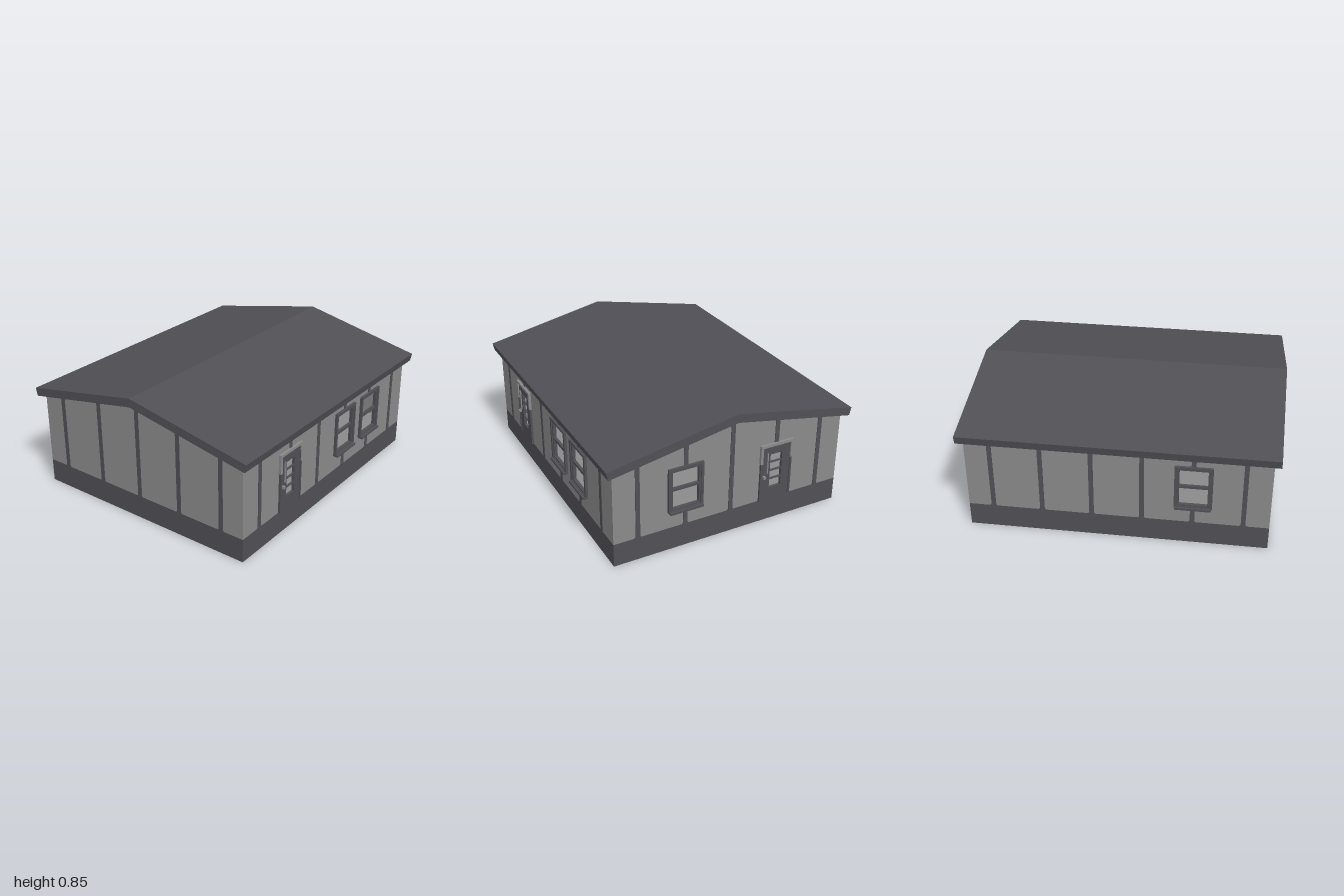
import * as THREE from 'three';

const HX = 0.945, HZ = 0.788;       // half width and half depth of the walls
const BASE = 0.155, EAVE = 0.634, PEAK = 0.79;
const OPEN_W = { w: 0.175, y0: 0.29, y1: 0.54 };   // window opening
const OPEN_D = { w: 0.084, y0: 0.238, y1: 0.477 }; // glazed part of a door

const trim = new THREE.MeshStandardMaterial({ color: 0x504f55, side: THREE.DoubleSide });
trim.name = 'dark trim';
const plaster = new THREE.MeshStandardMaterial({ color: 0x8a8a8a, side: THREE.DoubleSide });
plaster.name = 'grey panel';

function add(parent, name, geometry, material) {
  const mesh = new THREE.Mesh(geometry, material);
  mesh.name = name;
  parent.add(mesh);
  return mesh;
}

// Box given by its limits on each axis
function block(parent, name, material, x0, x1, y0, y1, z0, z1) {
  const mesh = add(parent, name, new THREE.BoxGeometry(x1 - x0, y1 - y0, z1 - z0), material);
  mesh.position.set((x0 + x1) / 2, (y0 + y1) / 2, (z0 + z1) / 2);
  return mesh;
}

function rectPath(x0, x1, y0, y1, Kind = THREE.Path) {
  const p = new Kind();
  p.moveTo(x0, y0).lineTo(x1, y0).lineTo(x1, y1).lineTo(x0, y1).closePath();
  return p;
}

// Rectangular plate with a rectangular hole, from z0 to z1
function ring(parent, name, material, outer, hole, z0, z1) {
  const shape = rectPath(...outer, THREE.Shape);
  shape.holes.push(rectPath(...hole));
  const mesh = add(parent, name,
    new THREE.ExtrudeGeometry(shape, { depth: z1 - z0, bevelEnabled: false }), material);
  mesh.position.z = z0;
  return mesh;
}

// Two-pane window with stepped frame and sill
function makeWindow(x) {
  const g = new THREE.Group();
  g.name = 'window';
  g.position.x = x;
  const h = OPEN_W.w / 2;
  const hole = [-h, h, OPEN_W.y0, OPEN_W.y1];
  ring(g, 'windowCasing', trim, [-0.117, 0.117, 0.268, 0.567], [-0.1, 0.1, 0.28, 0.552], -0.004, 0.017);
  ring(g, 'windowSash', trim, [-0.1, 0.1, 0.28, 0.552], hole, -0.012, 0.01);
  block(g, 'windowRail', trim, -h, h, 0.411, 0.43, -0.01, 0.008);
  block(g, 'windowSill', trim, -0.112, 0.112, 0.262, 0.276, 0, 0.032);
  return g;
}

// Glazed door with frame, head casing, pull bar and knob
function makeDoor(x) {
  const g = new THREE.Group();
  g.name = 'door';
  g.position.x = x;
  const h = OPEN_D.w / 2;
  ring(g, 'doorLeaf', trim, [-0.1, 0.1, BASE, 0.535], [-h, h, OPEN_D.y0, OPEN_D.y1], -0.01, 0.008);
  for (const y of [0.3, 0.36, 0.42]) {
    block(g, 'doorGlazingBar', trim, -h, h, y - 0.004, y + 0.004, -0.006, 0.006);
  }
  for (const s of [-1, 1]) {
    const a = s * 0.099, b = s * 0.113, c = s * 0.117;
    block(g, 'doorJamb', trim, Math.min(a, b), Math.max(a, b), BASE, 0.535, -0.004, 0.014);
    block(g, 'doorUpperCasing', plaster, Math.min(a, c), Math.max(a, c), 0.425, 0.553, 0, 0.017);
  }
  block(g, 'doorHeadCasing', plaster, -0.099, 0.099, 0.535, 0.553, 0, 0.017);
  block(g, 'doorPullBar', plaster, -0.067, -0.06, 0.35, 0.49, 0.008, 0.016);
  block(g, 'doorKnob', plaster, -0.095, -0.08, 0.318, 0.336, 0.008, 0.026);
  return g;
}

// Vertical strip with a small flared foot
function batten(parent, x, y0, y1) {
  const w = 0.0145, s = new THREE.Shape();
  const f = y0 === BASE ? 0.01 : 0;
  s.moveTo(x - w - f, y0).lineTo(x + w + f, y0).lineTo(x + w, y0 + 0.01)
    .lineTo(x + w, y1).lineTo(x - w, y1).lineTo(x - w, y0 + 0.01).closePath();
  add(parent, 'batten', new THREE.ExtrudeGeometry(s, { depth: 0.004, bevelEnabled: false }), trim);
}

// One side of the house, seen from outside with x to the right
function makeSide({ name, half, out, turn, peak, windows = [], doors = [], battens }) {
  const g = new THREE.Group();
  g.name = name;
  const shape = new THREE.Shape();
  shape.moveTo(-half, BASE).lineTo(half, BASE).lineTo(half, EAVE);
  if (peak) shape.lineTo(0, PEAK);
  shape.lineTo(-half, EAVE).closePath();
  for (const [list, o] of [[windows, OPEN_W], [doors, OPEN_D]]) {
    for (const x of list) shape.holes.push(rectPath(x - o.w / 2, x + o.w / 2, o.y0, o.y1));
  }
  add(g, 'wallPanel', new THREE.ShapeGeometry(shape), plaster);
  add(g, 'foundation', new THREE.PlaneGeometry(half * 2, BASE), trim).position.y = BASE / 2;

  const near = (list, x) => list.some(v => Math.abs(v - x) < 0.05);
  for (const x of battens) {
    const top = peak ? PEAK - (PEAK - EAVE) * Math.abs(x) / half : EAVE;
    if (near(doors, x)) batten(g, x, 0.553, top);
    else if (near(windows, x)) {
      batten(g, x, BASE, 0.268);
      batten(g, x, 0.567, top);
    } else batten(g, x, BASE, top);
  }
  windows.forEach(x => g.add(makeWindow(x)));
  doors.forEach(x => g.add(makeDoor(x)));

  g.rotation.y = turn;
  g.position.set(Math.sin(turn) * out, 0, Math.cos(turn) * out);
  return g;
}

// Gabled slab whose ends rake outward toward the ridge
function makeRoof() {
  const s = new THREE.Shape();
  s.moveTo(0, 0.847).lineTo(-0.837, 0.68).lineTo(-0.825, 0.627)
    .lineTo(0, PEAK).lineTo(0.825, 0.627).lineTo(0.837, 0.68).closePath();
  const geo = new THREE.ExtrudeGeometry(s, { depth: 2, bevelEnabled: false });
  geo.translate(0, 0, -1).rotateY(Math.PI / 2);
  const p = geo.attributes.position;
  for (let i = 0; i < p.count; i++) {
    p.setX(i, p.getX(i) * (1 - 0.016 * Math.abs(p.getZ(i)) / 0.837));
  }
  geo.computeVertexNormals();
  return geo;
}

export function createModel() {
  const house = new THREE.Group();
  house.name = 'house';
  const long = [-0.785, -0.471, -0.157, 0.157, 0.471, 0.785];
  const short = [-0.63, -0.315, 0, 0.315, 0.63];
  const sides = [
    { name: 'frontSide', half: HX, out: HZ, turn: 0, battens: long, windows: [0.157, 0.473], doors: [-0.475] },
    { name: 'backSide', half: HX, out: HZ, turn: Math.PI, battens: long, windows: [0.473] },
    { name: 'leftSide', half: HZ, out: HX, turn: Math.PI / 2, peak: true, battens: short, windows: [-0.317], doors: [0.315] },
    { name: 'rightSide', half: HZ, out: HX, turn: -Math.PI / 2, peak: true, battens: short },
  ];
  sides.forEach(s => house.add(makeSide(s)));

  const floor = add(house, 'floor', new THREE.PlaneGeometry(HX * 2, HZ * 2), plaster);
  floor.rotation.x = -Math.PI / 2;
  floor.position.y = BASE;
  add(house, 'roof', makeRoof(), trim);
  return house;
}
